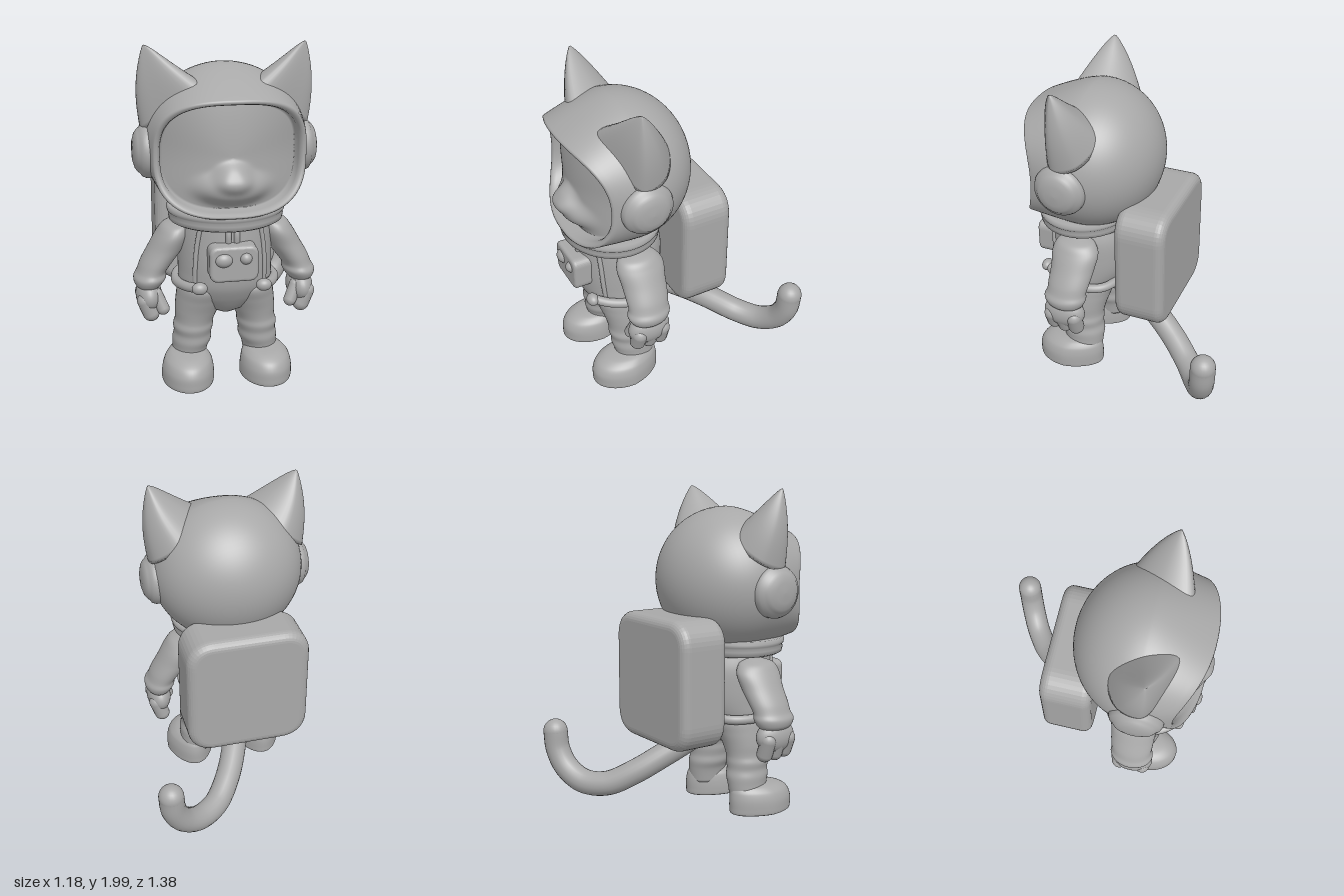
import * as THREE from 'three';

const V = (x, y, z) => new THREE.Vector3(x, y, z);

// Smooth skin over a list of closed loops, sealed at both ends
function skin(loops, flip) {
  const mid = l => l.reduce((a, p) => a.add(p), V(0, 0, 0)).divideScalar(l.length);
  const cap = l => { const c = mid(l); return l.map(() => c); };
  const rows = [cap(loops[0]), ...loops, cap(loops[loops.length - 1])];
  const n = loops[0].length, index = [];
  for (let i = 0; i < rows.length - 1; i++) for (let j = 0; j < n; j++) {
    const a = i * n + j, b = i * n + (j + 1) % n, c = a + n, d = b + n;
    if (flip) index.push(a, b, c, b, d, c);
    else index.push(a, c, b, b, c, d);
  }
  const g = new THREE.BufferGeometry().setFromPoints(rows.flat());
  g.setIndex(index);
  g.computeVertexNormals();
  return g;
}

// Upright limb from rings [x, y, z, radiusX, radiusZ], listed bottom to top;
// s mirrors it, taper narrows its rear half
function limb(rings, s = 1, n = 40, taper = 0) {
  const centre = new THREE.CatmullRomCurve3(rings.map(r => V(r[0], r[1], r[2])));
  const size = new THREE.CatmullRomCurve3(rings.map(r => V(r[3], r[4], r[1])));
  const loops = [], steps = rings.length * 6;
  for (let i = 0; i <= steps; i++) {
    const c = centre.getPoint(i / steps), r = size.getPoint(i / steps), loop = [];
    for (let j = 0; j < n; j++) {
      const a = j / n * Math.PI * 2, w = 1 - taper * Math.max(0, -Math.sin(a));
      loop.push(V(s * (c.x + w * r.x * Math.cos(a)), c.y, c.z + r.y * Math.sin(a)));
    }
    loops.push(loop);
  }
  return skin(loops, s < 0);
}

// Forward swell of the muzzle and nose on the face
function muzzle(x, y) {
  const swell = (cy, w, h) => Math.exp(-(((x / w) ** 2 + ((y - cy) / h) ** 2) ** 2));
  return 0.07 * swell(1.235, 0.19, 0.085) + 0.065 * swell(1.3, 0.095, 0.075)
    - 0.03 * swell(1.235, 0.19, 0.085) * swell(1.3, 0.095, 0.075);
}

// Helmet shell, rolled visor rim and recessed face in one surface
function helmetGeometry() {
  const n = 96, loops = [];
  const ring = f => {
    const loop = [];
    for (let j = 0; j < n; j++) {
      const a = j / n * Math.PI * 2, c = Math.cos(a), s = Math.sin(a);
      const rx = Math.sign(c) * Math.abs(c) ** 0.72, ry = Math.sign(s) * Math.abs(s) ** 0.72;
      const rim = V(0.428 * rx, 1.41 + 0.33 * ry, 0.52 + 0.07 * (ry * ry + 1 - rx * rx));
      loop.push(f(c, s, rim));
    }
    loops.push(loop);
  };
  for (let i = 1; i <= 20; i++) {
    const p = i / 20 * Math.PI / 2, r = Math.sin(p);
    ring((c, s) => V(0.465 * r * c, 1.44 + 0.445 * r * s, 0.3 - 0.42 * Math.cos(p)));
  }
  for (let i = 1; i <= 12; i++) {
    const t = i / 12;
    ring((c, s, rim) => new THREE.QuadraticBezierCurve3(
      V(0.465 * c, 1.44 + 0.445 * s, 0.3), V(0.465 * c, 1.44 + 0.445 * s, 0.39), rim).getPoint(t));
  }
  const inset = (k, dz) => ring((c, s, m) => {
    const x = m.x * k, y = 1.41 + (m.y - 1.41) * k;
    return V(x, y, m.z + dz(m.z, x, y));
  });
  [[0.985, 0.008], [0.955, 0.01], [0.925, 0.002], [0.905, -0.02], [0.895, -0.08]]
    .forEach(([k, z]) => inset(k, () => z));
  for (let i = 1; i <= 28; i++) {
    const k = 1 - i / 28.3;
    inset(0.895 * k, (z, x, y) => (0.6 - z) * (1 - k * k) - 0.08 * k * k + muzzle(x, y));
  }
  return skin(loops, true);
}

// Pointed ear with a flattish front and a rounded back
function earGeometry(s) {
  const base = new THREE.CatmullRomCurve3([
    V(0.47, 1.53, 0.36), V(0.35, 1.63, 0.45), V(0.15, 1.775, 0.5),
    V(0.15, 1.775, 0.3), V(0.3, 1.69, 0.135), V(0.45, 1.57, 0.21)], true).getPoints(48).slice(0, 48);
  const centre = V(0.32, 1.66, 0.33), tip = V(0.452, 1.998, 0.358), loops = [];
  for (let i = 0; i < 24; i++) {
    const t = 1 - (1 - i / 24) ** 1.4, k = (1 - t) ** 0.82;
    const axis = centre.clone().lerp(tip, t);
    axis.x += 0.02 * Math.sin(Math.PI * t);
    loops.push(base.map(p => {
      const q = p.clone().sub(centre).multiplyScalar(k).add(axis);
      return V(s * q.x, Math.min(q.y, 2), q.z);
    }));
  }
  return skin(loops, s < 0);
}

export function createModel() {
  const grey = new THREE.MeshStandardMaterial({ color: 0xa8a8a8 });
  grey.name = 'grey';
  const root = new THREE.Group();
  root.name = 'catAstronaut';
  const body = new THREE.Group();
  body.name = 'figure';
  body.position.x = -0.055;
  root.add(body);

  const add = (name, geometry, x = 0, y = 0, z = 0, parent = body) => {
    const m = new THREE.Mesh(geometry, grey);
    m.name = name;
    m.position.set(x, y, z);
    parent.add(m);
    return m;
  };
  const ball = (name, x, y, z, rx, ry, rz) =>
    add(name, new THREE.SphereGeometry(1, 36, 24).scale(rx, ry, rz), x, y, z);
  const tube = (name, pts, r, parent = body) =>
    add(name, new THREE.TubeGeometry(new THREE.CatmullRomCurve3(pts), 64, r, 20), 0, 0, 0, parent);
  const finger = (name, a, b, r) => {
    const m = add(name, new THREE.CapsuleGeometry(r, a.distanceTo(b), 8, 16));
    m.position.copy(a).lerp(b, 0.5);
    m.quaternion.setFromUnitVectors(V(0, 1, 0), b.clone().sub(a).normalize());
  };
  const block = (name, w, h, d, corner, bevel, x, y, z) => {
    const s = new THREE.Shape(), a = w / 2 - bevel, b = h / 2 - bevel, c = corner;
    s.moveTo(-a + c, -b).lineTo(a - c, -b).quadraticCurveTo(a, -b, a, -b + c)
      .lineTo(a, b - c).quadraticCurveTo(a, b, a - c, b)
      .lineTo(-a + c, b).quadraticCurveTo(-a, b, -a, b - c)
      .lineTo(-a, -b + c).quadraticCurveTo(-a, -b, -a + c, -b);
    const g = new THREE.ExtrudeGeometry(s, {
      depth: d - 2 * bevel, bevelSize: bevel, bevelThickness: bevel, bevelSegments: 6, curveSegments: 10 });
    g.translate(0, 0, -d / 2 + bevel);
    return add(name, g, x, y, z);
  };

  // Head and neck ring
  add('helmet', helmetGeometry());
  const ringProfile = [[0.2, 0.995], [0.31, 0.995], [0.327, 1.005], [0.332, 1.03], [0.328, 1.048],
    [0.338, 1.058], [0.342, 1.075], [0.332, 1.095], [0.2, 1.1]].map(p => new THREE.Vector2(...p));
  add('neckRing', new THREE.LatheGeometry(ringProfile, 64).scale(1, 1, 0.88), 0, 0, 0.36);

  // Torso, hips and chest controls
  add('torso', limb([[0, 0.42, 0.33, 0.06, 0.08], [0, 0.46, 0.33, 0.14, 0.14], [0, 0.54, 0.335, 0.24, 0.195],
    [0, 0.62, 0.335, 0.272, 0.235], [0, 0.7, 0.325, 0.275, 0.26], [0, 0.8, 0.32, 0.275, 0.27],
    [0, 0.92, 0.32, 0.27, 0.265], [0, 1.02, 0.335, 0.25, 0.245]], 1, 56));
  block('chestBox', 0.275, 0.21, 0.14, 0.03, 0.02, 0, 0.812, 0.59);
  ball('largeKnob', -0.06, 0.84, 0.645, 0.052, 0.043, 0.04);
  ball('smallKnob', 0.065, 0.845, 0.645, 0.036, 0.036, 0.04);
  for (const x of [-0.022, 0.025]) {
    tube('hose', [V(x, 0.9, 0.58), V(x, 0.96, 0.585), V(x, 1.02, 0.57)], 0.017);
  }
  block('backpack', 0.75, 0.775, 0.315, 0.11, 0.055, 0.003, 0.87, -0.113);

  // Paired parts
  for (const s of [1, -1]) {
    const side = s > 0 ? 'left' : 'right';
    add(side + 'Ear', earGeometry(s));
    const cup = [[0.158, 0], [0.156, 0.04], [0.146, 0.062], [0.13, 0.072], [0.118, 0.086],
      [0.1, 0.1], [0.06, 0.112], [0, 0.115]].map(p => new THREE.Vector2(...p));
    add(side + 'EarCup', new THREE.LatheGeometry(cup, 48), s * 0.412, 1.405, 0.33)
      .rotation.z = -s * Math.PI / 2;

    // Harness strap and belt half with a rounded buckle end
    tube(side + 'Strap', [V(s * 0.17, 1, 0.52), V(s * 0.19, 0.88, 0.513), V(s * 0.2, 0.75, 0.507),
      V(s * 0.2, 0.64, 0.495)], 0.014);
    tube(side + 'Belt', [V(s * 0.18, 0.648, 0.575), V(s * 0.25, 0.63, 0.48), V(s * 0.29, 0.615, 0.34),
      V(s * 0.25, 0.615, 0.18), V(s * 0.13, 0.62, 0.11), V(0, 0.62, 0.1)], 0.028);
    ball(side + 'Buckle', s * 0.185, 0.648, 0.575, 0.045, 0.036, 0.036);

    // Sleeve with cuff, then mitten hand
    add(side + 'Arm', limb([[0.455, 0.58, 0.33, 0.05, 0.08], [0.452, 0.61, 0.33, 0.08, 0.115],
      [0.443, 0.65, 0.33, 0.095, 0.133], [0.432, 0.685, 0.325, 0.087, 0.125], [0.402, 0.74, 0.32, 0.095, 0.13],
      [0.35, 0.82, 0.315, 0.102, 0.137], [0.305, 0.91, 0.315, 0.095, 0.145],
      [0.28, 0.96, 0.32, 0.08, 0.115], [0.25, 0.985, 0.32, 0.04, 0.05]], s));
    ball(side + 'Palm', s * 0.452, 0.54, 0.335, 0.076, 0.1, 0.132);
    for (const z of [0.262, 0.335, 0.408]) {
      finger(side + 'Finger', V(s * 0.478, 0.525, z), V(s * 0.447, 0.447 - 0.01 * (z < 0.4), z), 0.049);
    }
    finger(side + 'Thumb', V(s * 0.415, 0.56, 0.4), V(s * 0.378, 0.475, 0.42), 0.038);

    // Creased trouser leg and boot
    add(side + 'Leg', limb([[0.22, 0.1, 0.32, 0.1, 0.12], [0.21, 0.19, 0.32, 0.105, 0.13],
      [0.2, 0.24, 0.325, 0.115, 0.138], [0.195, 0.285, 0.33, 0.111, 0.134], [0.192, 0.33, 0.335, 0.118, 0.14],
      [0.185, 0.37, 0.335, 0.114, 0.138], [0.17, 0.44, 0.335, 0.128, 0.152], [0.152, 0.52, 0.335, 0.138, 0.178],
      [0.14, 0.6, 0.335, 0.135, 0.2], [0.13, 0.66, 0.335, 0.1, 0.15]], s));
    add(side + 'Boot', limb([[0.235, 0.005, 0.4, 0.14, 0.2], [0.235, 0.012, 0.4, 0.152, 0.213],
      [0.235, 0.05, 0.4, 0.155, 0.216], [0.235, 0.1, 0.398, 0.151, 0.214], [0.233, 0.145, 0.388, 0.137, 0.197],
      [0.23, 0.175, 0.368, 0.108, 0.16], [0.225, 0.19, 0.34, 0.075, 0.1]], s, 48, 0.2));
  }

  // Curled tail with a round tip
  const tail = new THREE.Group();
  tail.name = 'tail';
  root.add(tail);
  tube('tailShaft', [V(-0.06, 0.54, 0.19), V(-0.045, 0.455, 0.02), V(0.015, 0.36, -0.14), V(0.09, 0.27, -0.28),
    V(0.2, 0.19, -0.415), V(0.33, 0.187, -0.51), V(0.44, 0.26, -0.57), V(0.5, 0.37, -0.598),
    V(0.513, 0.485, -0.605)], 0.076, tail);
  add('tailTip', new THREE.SphereGeometry(0.076, 24, 16), 0.513, 0.485, -0.605, tail);

  return root;
}
